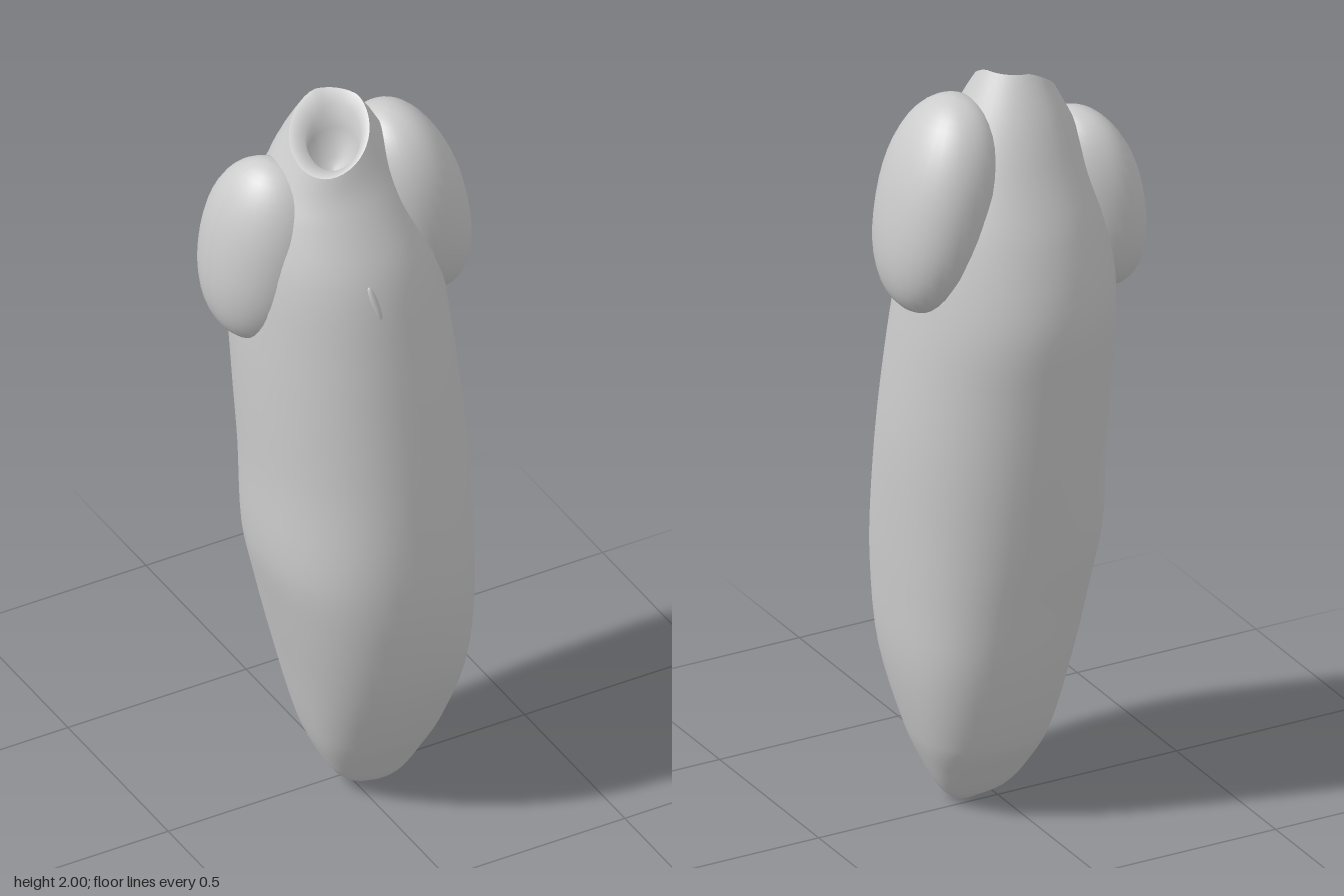
import * as THREE from 'three';

const material = new THREE.MeshStandardMaterial({ color: 0xcccccc });

// Body sections: y, left x, right x, back z, front z, tilt of the section
const outerRows = [
  [0.0, 0.04, 0.1, 0.02, 0.06, 0],
  [0.03, -0.035, 0.135, -0.02, 0.09, 0],
  [0.1, -0.085, 0.175, -0.075, 0.135, 0],
  [0.2, -0.125, 0.215, -0.14, 0.195, 0],
  [0.4, -0.175, 0.26, -0.202, 0.28, 0],
  [0.6, -0.223, 0.275, -0.237, 0.322, 0],
  [0.77, -0.257, 0.282, -0.265, 0.33, 0],
  [1.0, -0.26, 0.285, -0.295, 0.312, 0],
  [1.2, -0.265, 0.275, -0.315, 0.288, 0],
  [1.4, -0.265, 0.258, -0.328, 0.258, 0],
  [1.6, -0.25, 0.23, -0.285, 0.215, 0],
  [1.75, -0.21, 0.18, -0.222, 0.15, 0.1],
  [1.85, -0.175, 0.12, -0.17, 0.112, 0.5],
  [1.935, -0.14, 0.055, -0.11, 0.09, 1],
];

// Hollow inside the mouth, from the rim down to its floor
const innerRows = [
  [1.935, -0.14, 0.055, -0.11, 0.09, 1],
  [1.93, -0.105, 0.028, -0.068, 0.075, 1],
  [1.88, -0.105, 0.025, -0.06, 0.062, 0.7],
  [1.83, -0.08, 0.005, -0.035, 0.04, 0.3],
  [1.815, -0.04, -0.038, 0, 0.002, 0],
];

// Smoothly interpolate the section table
function refine(rows, steps) {
  const out = [];
  for (let i = 0; i < rows.length - 1; i++) {
    const a = rows[Math.max(i - 1, 0)], b = rows[i];
    const c = rows[i + 1], d = rows[Math.min(i + 2, rows.length - 1)];
    for (let s = 0; s < steps; s++) {
      const t = s / steps;
      out.push(b.map((v, k) => {
        const h = c[0] - b[0];
        const m0 = (c[k] - a[k]) / (c[0] - a[0]) * h;
        const m1 = (d[k] - b[k]) / (d[0] - b[0]) * h;
        return (2 * t ** 3 - 3 * t * t + 1) * v + (t ** 3 - 2 * t * t + t) * m0
          + (3 * t * t - 2 * t ** 3) * c[k] + (t ** 3 - t * t) * m1;
      }));
    }
  }
  out.push(rows[rows.length - 1]);
  return out;
}

// Skin rounded rings, fuller in the corners toward the base
function loft(name, rows, capStart) {
  const n = 40, pos = [], index = [];
  for (const [y, xl, xr, zb, zf, tilt] of rows) {
    const power = 2 / (2.05 + 0.5 * (1 - THREE.MathUtils.smoothstep(y, 0.3, 1.1)));
    const bulge = (v) => Math.sign(v) * Math.abs(v) ** power;
    for (let j = 0; j < n; j++) {
      const a = j / n * Math.PI * 2;
      const x = (xl + xr) / 2 + bulge(Math.cos(a)) * (xr - xl) / 2;
      const z = (zb + zf) / 2 + bulge(Math.sin(a)) * (zf - zb) / 2;
      // The mouth slopes down to the front right and levels off at the back
      pos.push(x, y + tilt * Math.min(0.065, 0.5 * (x + 0.04) - 0.55 * z), z);
    }
  }
  for (let i = 0; i < rows.length - 1; i++) {
    for (let j = 0; j < n; j++) {
      const a = i * n + j, b = i * n + (j + 1) % n;
      index.push(a, a + n, b, b, a + n, b + n);
    }
  }
  if (capStart) for (let j = 1; j < n - 1; j++) index.push(0, j, j + 1);
  const g = new THREE.BufferGeometry();
  g.setAttribute('position', new THREE.Float32BufferAttribute(pos, 3));
  g.setIndex(index);
  g.computeVertexNormals();
  const mesh = new THREE.Mesh(g, material);
  mesh.name = name;
  return mesh;
}

// Swollen lobe: an ellipsoid, leaning in x with height and skewed in z across its width
function lobe(name, center, radius, lean, skew) {
  const g = new THREE.SphereGeometry(1, 32, 24);
  const p = g.attributes.position;
  for (let i = 0; i < p.count; i++) {
    const x = p.getX(i), y = p.getY(i), z = p.getZ(i);
    // Boxier when seen from the side
    const k = 1 / Math.pow(Math.abs(x) ** 2.2 + Math.abs(y) ** 2.2 + Math.abs(z) ** 2.2, 1 / 2.2);
    p.setXYZ(i, (x * radius[0] + lean * y) * k, y * k * radius[1], (z * radius[2] + skew * x) * k);
  }
  g.computeVertexNormals();
  const mesh = new THREE.Mesh(g, material);
  mesh.name = name;
  mesh.position.set(...center);
  return mesh;
}

export function createModel() {
  const group = new THREE.Group();
  group.name = 'lobedPod';
  group.add(loft('body', refine(outerRows, 4), true));
  group.add(loft('mouth', innerRows, false));
  group.add(lobe('leftLobe', [0.182, 1.665, -0.025], [0.138, 0.275, 0.175], -0.05, 0));
  group.add(lobe('rightLobe', [-0.208, 1.612, -0.07], [0.122, 0.245, 0.145], 0.03, 0.035));

  // Thin fold of skin on the upper front
  const fold = lobe('skinFold', [-0.042, 1.56, 0.219], [0.01, 0.05, 0.009], -0.012, 0);
  fold.rotation.x = -0.22;
  group.add(fold);
  return group;
}
